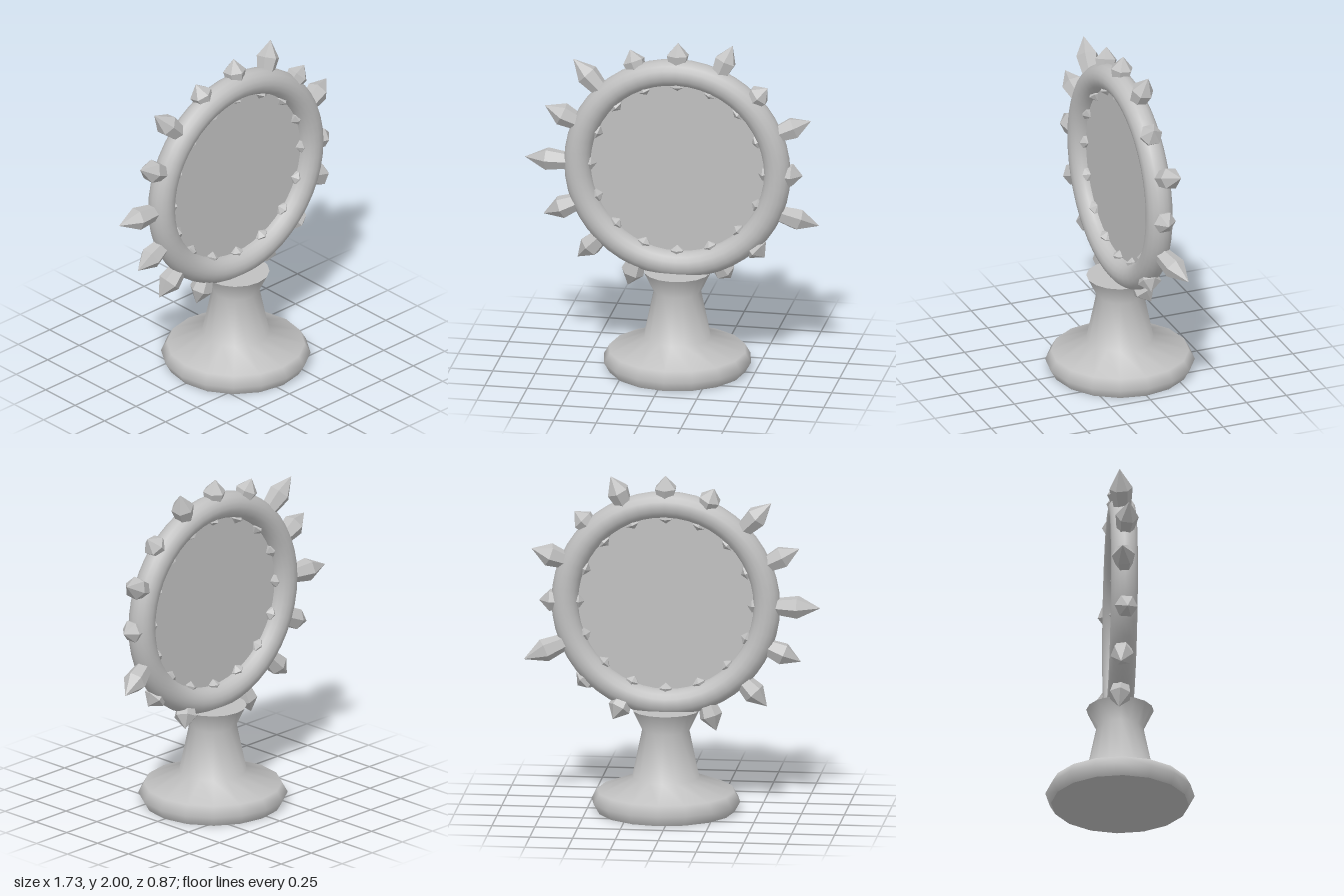
import * as THREE from 'three';

const RING_Y = 1.235, RING_R = 0.59, TUBE_R = 0.078;

// Flat-faced crystal along +y, unit height and unit shoulder radius
function crystalGeometry(shoulder) {
  const profile = [[0.62, 0], [1, shoulder], [0, 1]].map(([r, y]) => new THREE.Vector2(r, y));
  const geometry = new THREE.LatheGeometry(profile, 6).toNonIndexed();
  geometry.computeVertexNormals();
  return geometry;
}

export function createModel() {
  const model = new THREE.Group();
  const stone = new THREE.MeshStandardMaterial({ color: 0xc0c0c0, side: THREE.DoubleSide });
  stone.name = 'grey stone';

  const add = (name, geometry, parent = model) => {
    const mesh = new THREE.Mesh(geometry, stone);
    mesh.name = name;
    parent.add(mesh);
    return mesh;
  };

  // Pedestal: wide foot, tapering neck and flared top
  const profile = [[0.4, 0], [0.434, 0.06], [0.4, 0.12], [0.196, 0.2], [0.138, 0.48], [0.196, 0.6]];
  add('pedestal', new THREE.LatheGeometry(profile.map(([r, y]) => new THREE.Vector2(r, y)), 16));
  add('pedestalTop', new THREE.CircleGeometry(0.196, 16).rotateX(-Math.PI / 2).translate(0, 0.6, 0));
  add('pedestalBottom', new THREE.CircleGeometry(0.4, 16).rotateX(Math.PI / 2));

  // Ring and the pane that fills it
  const frame = new THREE.Group();
  frame.name = 'frame';
  frame.position.y = RING_Y;
  model.add(frame);
  add('ring', new THREE.TorusGeometry(RING_R, TUBE_R, 16, 48), frame);
  add('pane', new THREE.CircleGeometry(0.56, 48), frame);

  const up = new THREE.Vector3(0, 1, 0);
  const place = (name, geometry, base, tip, radius) => {
    const crystal = add(name, geometry, frame);
    const axis = tip.clone().sub(base);
    crystal.position.copy(base);
    crystal.scale.set(radius, axis.length(), radius);
    crystal.quaternion.setFromUnitVectors(up, axis.normalize());
  };

  // Outer spikes: tip positions from the ring centre, anticlockwise from +x
  const tips = [
    [0.74, 0, 0], [0.778, 0.32, -0.06], [0.535, 0.532, 0.01], [0.318, 0.76, -0.045],
    [0, 0.765, -0.02], [-0.286, 0.7, -0.035], [-0.62, 0.622, -0.03], [-0.778, 0.341, 0.02],
    [-0.905, 0, -0.025], [-0.788, -0.33, 0.01], [-0.593, -0.595, -0.02], [-0.296, -0.749, -0.02],
    [0, -0.76, 0], [0.302, -0.685, -0.07], [0.519, -0.51, 0.02], [0.82, -0.336, -0.09],
  ];
  const spike = crystalGeometry(0.58);
  const stud = crystalGeometry(0.55);
  tips.forEach((tip, i) => {
    const angle = (i * Math.PI) / 8;
    const direction = new THREE.Vector3(Math.cos(angle), Math.sin(angle), 0);
    place('outerSpike', spike, direction.clone().multiplyScalar(RING_R), new THREE.Vector3(...tip), 0.068);
    // Small inner studs point at the ring centre
    place('innerStud', stud, direction.clone().multiplyScalar(0.54),
      direction.clone().multiplyScalar(0.475), 0.043);
  });

  // The spikes reach further to one side, so the stand sits off centre
  model.children.forEach((part) => { part.position.x += 0.0425; });
  return model;
}
